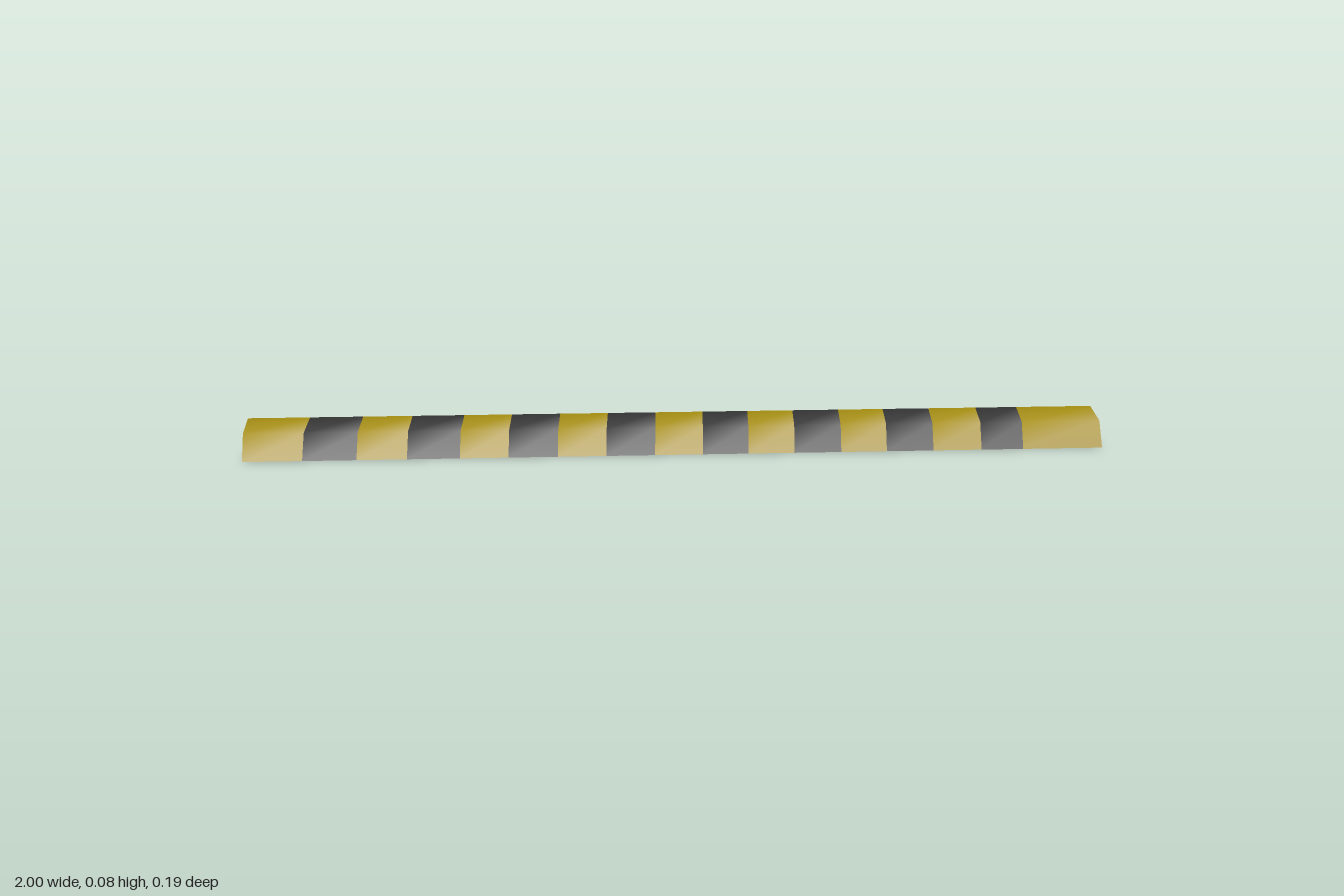
import * as THREE from 'three';

// Half-round cross-section as [z, y], from the front foot over the crest to the back foot
const PROFILE = [[0.096, 0], [0.068, 0.06], [0, 0.083], [-0.068, 0.06], [-0.096, 0]];
// Start and end of each dark stripe along the crest
const STRIPES = [
  [-0.858, -0.736], [-0.622, -0.502], [-0.391, -0.278], [-0.166, -0.053],
  [0.058, 0.165], [0.273, 0.383], [0.491, 0.602], [0.717, 0.817],
];
const SLANT = -0.08; // stripe edges lean slightly across the bump

// One length of the open-bottomed shell; its inner ends follow the slant
function bandGeometry(x0, x1) {
  const edge = (x, z) => (Math.abs(x) === 1 ? x : x + SLANT * z);
  const positions = [], index = [];
  PROFILE.forEach(([z, y], i) => {
    positions.push(edge(x0, z), y, z, edge(x1, z), y, z);
    if (i < PROFILE.length - 1) {
      const a = 2 * i;
      index.push(a, a + 1, a + 3, a, a + 3, a + 2);
    }
  });
  const geometry = new THREE.BufferGeometry();
  geometry.setAttribute('position', new THREE.Float32BufferAttribute(positions, 3));
  geometry.setIndex(index);
  geometry.computeVertexNormals();
  return geometry;
}

export function createModel() {
  const yellow = new THREE.MeshStandardMaterial({ color: 0xa38c10, side: THREE.DoubleSide });
  yellow.name = 'yellow';
  const black = new THREE.MeshStandardMaterial({ color: 0x333333, side: THREE.DoubleSide });
  black.name = 'black';

  const model = new THREE.Group();
  model.name = 'speedBump';
  const add = (name, geometry, material) => {
    const mesh = new THREE.Mesh(geometry, material);
    mesh.name = name;
    model.add(mesh);
    return mesh;
  };

  // Alternating yellow and black lengths of shell
  const edges = [-1, ...STRIPES.flat(), 1];
  for (let i = 0; i < edges.length - 1; i++) {
    const dark = i % 2 === 1;
    add(dark ? 'blackStripe' : 'yellowStripe', bandGeometry(edges[i], edges[i + 1]), dark ? black : yellow);
  }

  // Flat end caps
  const section = new THREE.Shape(PROFILE.map(([z, y]) => new THREE.Vector2(z, y)));
  for (const side of [1, -1]) {
    const cap = new THREE.ShapeGeometry(section).rotateY(side * Math.PI / 2);
    add(side > 0 ? 'leftEndCap' : 'rightEndCap', cap, yellow).position.x = side;
  }
  return model;
}
